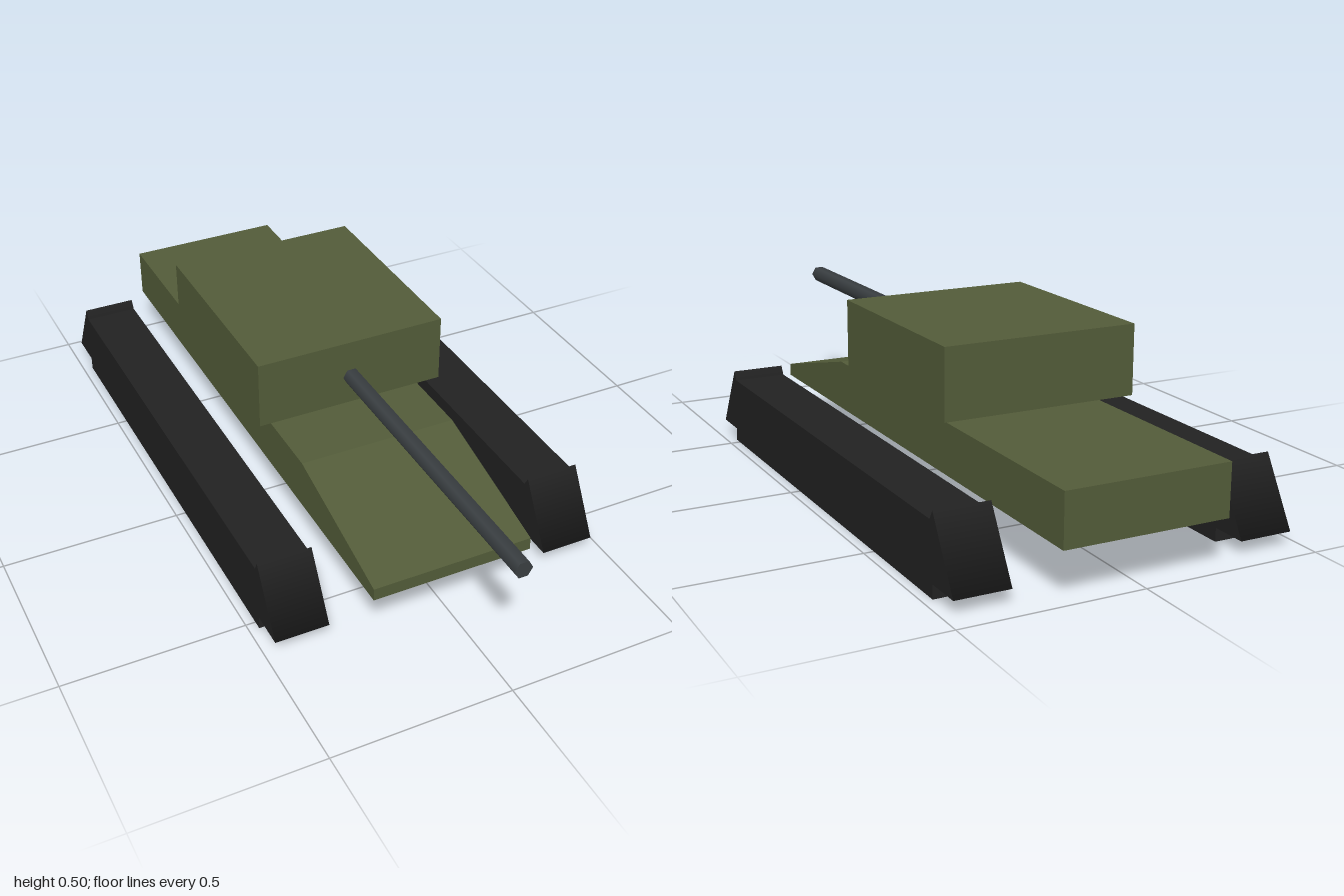
import * as THREE from 'three';

export function createModel() {
  const model = new THREE.Group();
  model.name = 'tank';

  const material = (name, color) => {
    const m = new THREE.MeshStandardMaterial({ color });
    m.name = name;
    return m;
  };
  const olive = material('olive armour', 0x535c39);
  const black = material('track black', 0x222222);
  const steel = material('gun steel', 0x3a3f42);

  const add = (parent, name, geometry, mat, x = 0, y = 0, z = 0) => {
    const mesh = new THREE.Mesh(geometry, mat);
    mesh.name = name;
    mesh.position.set(x, y, z);
    parent.add(mesh);
    return mesh;
  };

  // Hull: side profile with a sloping nose, extruded across the width
  const hullWidth = 0.458;
  const profile = new THREE.Shape([
    [-1, 0.136], [0.693, 0.136], [0.693, 0.172], [0.27, 0.278], [-1, 0.278],
  ].map(([z, y]) => new THREE.Vector2(z, y)));
  const hull = new THREE.ExtrudeGeometry(profile, { depth: hullWidth, bevelEnabled: false });
  hull.translate(0, 0, -hullWidth / 2).rotateY(-Math.PI / 2);
  add(model, 'hull', hull, olive);

  // Turret
  add(model, 'turret', new THREE.BoxGeometry(0.554, 0.194, 0.606), olive, 0, 0.404, -0.2);

  // Six-sided gun barrel, flat on top
  const barrel = new THREE.CylinderGeometry(0.025, 0.025, 0.9, 6);
  barrel.rotateY(Math.PI / 6).rotateX(Math.PI / 2);
  add(model, 'gunBarrel', barrel, steel, 0, 0.391, 0.55);

  // Tracks: a long block with a three-sided roller at each end
  const trackWidth = 0.151, frontZ = 0.525, backZ = -0.83;
  const block = new THREE.BoxGeometry(trackWidth, 0.192, frontZ - backZ);
  const roller = new THREE.CylinderGeometry(0.12, 0.12, trackWidth, 3);
  roller.rotateZ(Math.PI / 2).rotateX(-Math.PI / 2);
  for (const [side, x] of [['left', 0.397], ['right', -0.397]]) {
    const track = new THREE.Group();
    track.name = side + 'Track';
    track.position.x = x;
    add(track, 'trackBlock', block, black, 0, 0.096, (frontZ + backZ) / 2);
    add(track, 'frontRoller', roller, black, 0, 0.097, frontZ);
    add(track, 'backRoller', roller, black, 0, 0.097, backZ);
    model.add(track);
  }

  return model;
}
